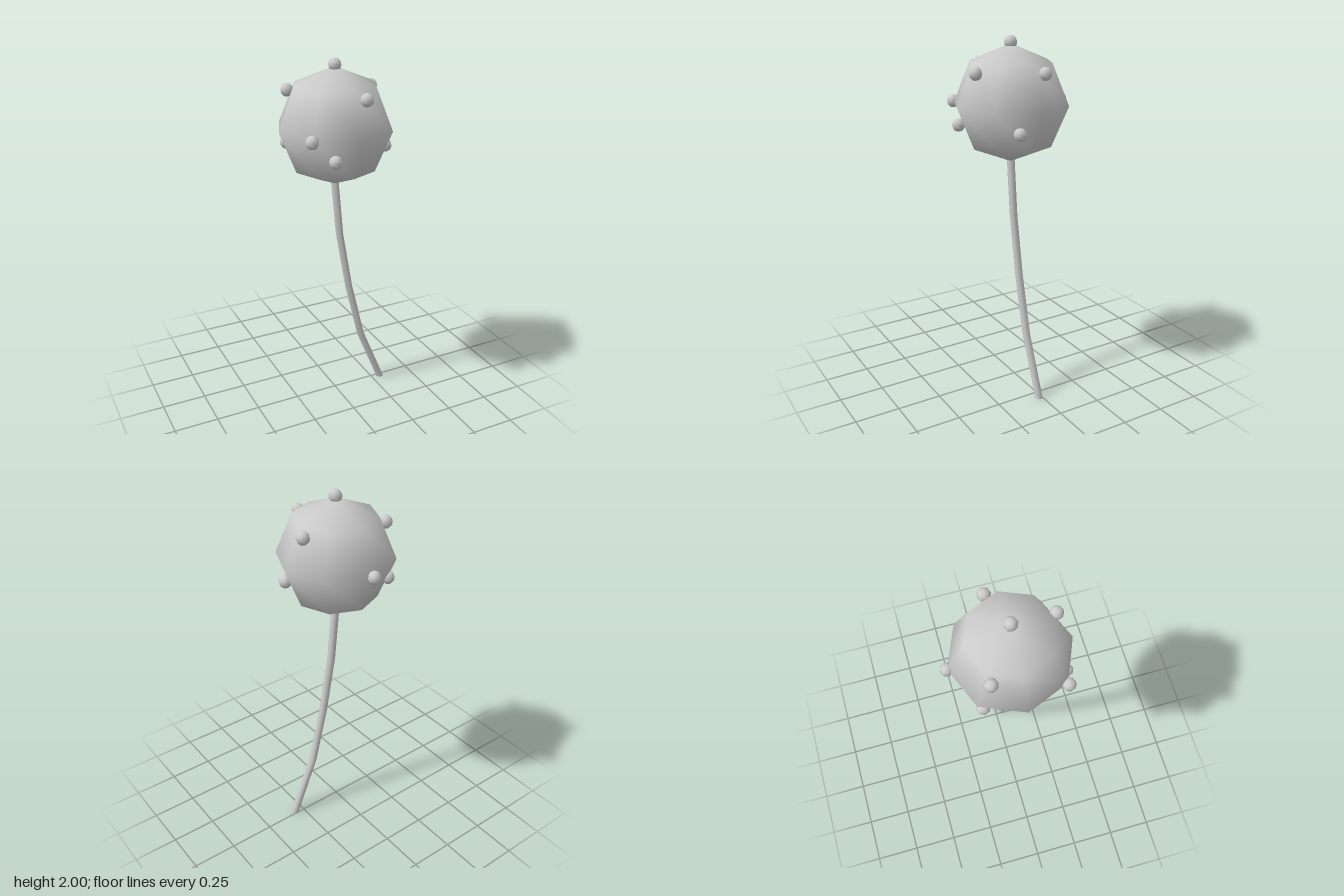
import * as THREE from 'three';

const CENTER = new THREE.Vector3(-0.01, 1.64, 0.017);

export function createModel() {
  const group = new THREE.Group();
  const material = new THREE.MeshStandardMaterial({ color: 0xcccccc });
  const add = (name, geometry) => {
    const mesh = new THREE.Mesh(geometry, material);
    mesh.name = name;
    group.add(mesh);
    return mesh;
  };

  // Coarse round head with smooth shading
  add('head', new THREE.SphereGeometry(0.317, 8, 4)).position.copy(CENTER);

  // Small knobs: azimuth from +x toward +z (degrees), distance from the head's axis, height
  const knobs = [
    [0, 0, 1.964],
    [76, 0.249, 1.825], [-14, 0.252, 1.825], [216, 0.254, 1.825],
    [136, 0.325, 1.64], [270, 0.317, 1.64],
    [115, 0.281, 1.53], [20, 0.271, 1.53], [224, 0.276, 1.53],
  ];
  const knobGeometry = new THREE.SphereGeometry(0.036, 8, 6);
  knobs.forEach(([degrees, radius, y], i) => {
    const a = THREE.MathUtils.degToRad(degrees);
    add(`knob${i + 1}`, knobGeometry).position.set(
      CENTER.x + radius * Math.cos(a), y, CENTER.z + radius * Math.sin(a));
  });

  // Bent stem: a cylinder whose level rings slide sideways, from foot to head
  const bend = [0.303, 0.163, 0.08, 0.02, -0.012];
  const height = 1.36;
  const stem = new THREE.CylinderGeometry(0.022, 0.022, height, 8, bend.length - 1);
  stem.translate(0, height / 2, CENTER.z);
  const p = stem.attributes.position;
  for (let i = 0; i < p.count; i++) {
    const ring = Math.round((p.getY(i) / height) * (bend.length - 1));
    p.setX(i, p.getX(i) + bend[ring]);
  }
  stem.computeVertexNormals();
  add('stem', stem);

  return group;
}
